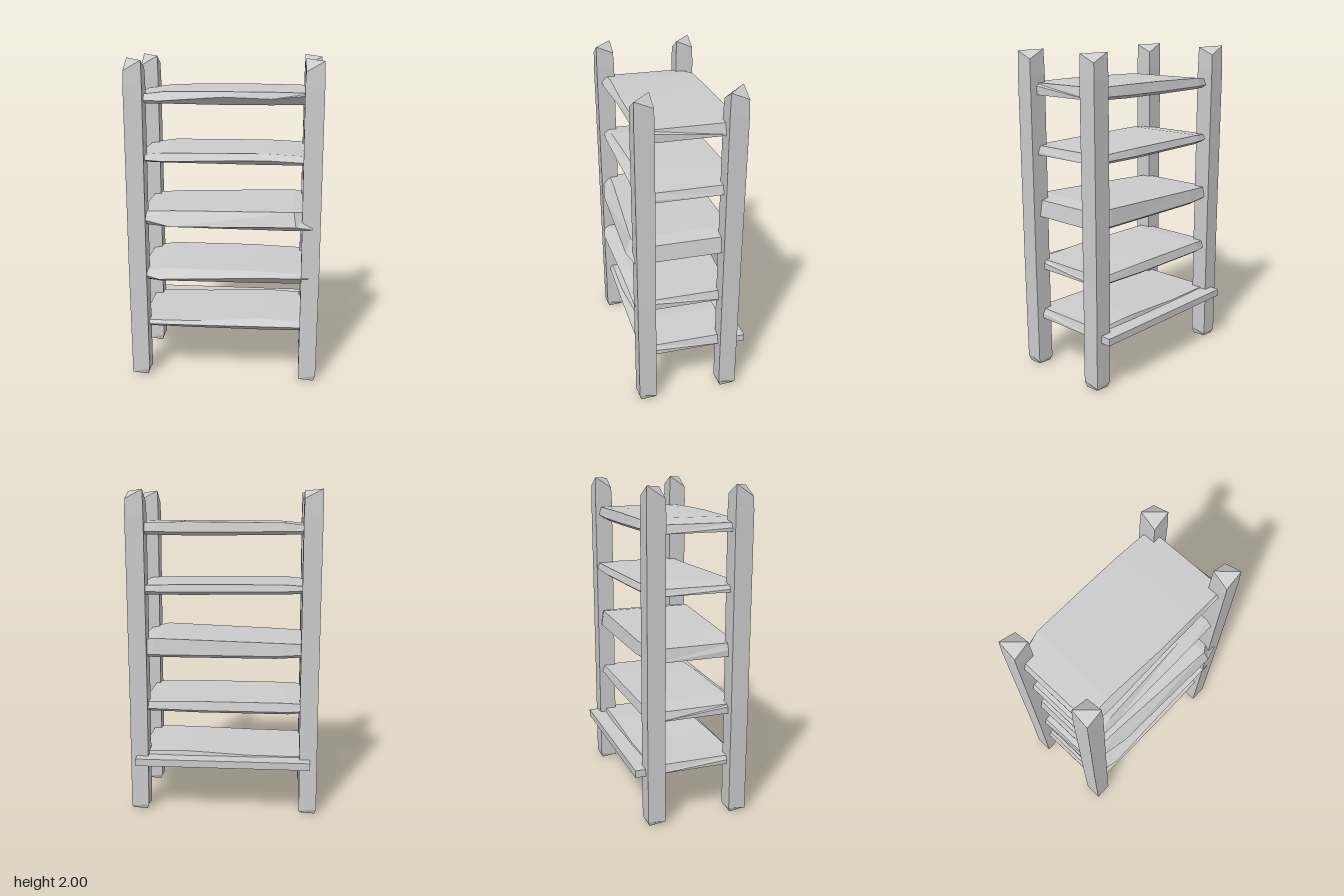
import * as THREE from 'three';

const material = new THREE.MeshStandardMaterial({ color: 0xcccccc, flatShading: true });

// Skin a list of equal-length rings (counter-clockwise seen from the last ring) and cap both ends.
function loft(rings) {
  const n = rings[0].length;
  const index = [];
  for (let i = 0; i < rings.length - 1; i++) {
    for (let j = 0; j < n; j++) {
      const k = (j + 1) % n;
      const a = i * n, b = a + n;
      index.push(a + j, a + k, b + j, a + k, b + k, b + j);
    }
  }
  const last = (rings.length - 1) * n;
  for (let j = 1; j < n - 1; j++) {
    index.push(0, j + 1, j);
    index.push(last, last + j, last + j + 1);
  }
  const geometry = new THREE.BufferGeometry();
  geometry.setAttribute('position', new THREE.Float32BufferAttribute(rings.flat(2), 3));
  geometry.setIndex(index);
  const faceted = geometry.toNonIndexed();
  faceted.computeVertexNormals();
  return faceted;
}

// Rough-hewn square post with a worn foot and a top split along a diagonal ridge.
function makePost(x, z, lean) {
  const corners = [[-1, -1], [-1, 1], [1, 1], [1, -1]];
  const ring = (half, heights, dx = 0) =>
    corners.map(([sx, sz], i) => [x + dx + sx * half, heights[i], z + sz * half]);
  const level = (y) => [y, y, y, y];
  return loft([
    ring(0.043, [0, 0.01, 0, 0.005]),
    ring(0.054, [0.03, 0.015, 0.04, 0.02]),
    ring(0.055, level(0.7), lean),
    ring(0.056, level(1.85)),
    ring(0.053, [2, 1.93, 1.99, 1.945]),
  ]);
}

// Hewn board: each station across the width is
// [x, bottom y, top y, back z, top front z, front edge z, front edge y].
function makeShelf(stations) {
  return loft(stations.map(([x, yb, yt, zb, zt, zf, yf]) => [
    [x, yb, zb + 0.03],
    [x, yb + 0.02, zb],
    [x * 0.97, yt, zb + 0.012],
    [x * 0.97, yt, zt],
    [x, yf, zf],
    [x, yb, zf - 0.05],
  ]));
}

const shelves = [
  // bottom
  [
    [-0.54, 0.31, 0.36, -0.27, 0.28, 0.30, 0.34],
    [-0.15, 0.31, 0.365, -0.28, 0.28, 0.305, 0.345],
    [0.25, 0.31, 0.385, -0.28, 0.25, 0.305, 0.35],
    [0.54, 0.315, 0.375, -0.27, 0.28, 0.30, 0.35],
  ],
  // second
  [
    [-0.54, 0.64, 0.695, -0.26, 0.27, 0.315, 0.69],
    [-0.40, 0.635, 0.71, -0.29, 0.27, 0.345, 0.66],
    [0.15, 0.635, 0.71, -0.29, 0.28, 0.335, 0.68],
    [0.52, 0.64, 0.70, -0.28, 0.28, 0.335, 0.69],
  ],
  // third
  [
    [-0.53, 0.995, 1.075, -0.27, 0.27, 0.31, 1.04],
    [-0.32, 0.985, 1.085, -0.29, 0.28, 0.345, 1.0],
    [0.44, 0.985, 1.105, -0.29, 0.33, 0.365, 1.02],
    [0.54, 0.99, 1.09, -0.27, 0.27, 0.335, 1.0],
  ],
  // fourth
  [
    [-0.54, 1.385, 1.425, -0.25, 0.26, 0.30, 1.405],
    [-0.38, 1.38, 1.44, -0.29, 0.27, 0.305, 1.395],
    [0.25, 1.375, 1.44, -0.31, 0.24, 0.305, 1.41],
    [0.54, 1.375, 1.43, -0.30, 0.26, 0.30, 1.395],
  ],
  // top
  [
    [-0.55, 1.735, 1.785, -0.24, 0.27, 0.30, 1.76],
    [-0.38, 1.735, 1.805, -0.29, 0.265, 0.305, 1.755],
    [0.0, 1.73, 1.81, -0.29, 0.28, 0.30, 1.78],
    [0.28, 1.73, 1.81, -0.29, 0.28, 0.295, 1.77],
    [0.54, 1.735, 1.805, -0.28, 0.28, 0.295, 1.795],
  ],
];

export function createModel() {
  const group = new THREE.Group();
  const add = (name, geometry) => {
    const mesh = new THREE.Mesh(geometry, material);
    mesh.name = name;
    group.add(mesh);
    return mesh;
  };

  // Four corner posts
  for (const side of [-1, 1]) {
    const label = side > 0 ? 'Left' : 'Right';
    add(`front${label}Post`, makePost(side * 0.53, 0.275, side * 0.003));
    add(`back${label}Post`, makePost(side * 0.53, -0.25, -side * 0.003));
  }

  // Five uneven boards
  shelves.forEach((stations, i) => add(`shelf${i + 1}`, makeShelf(stations)));

  // Bottom board runs out past the back posts as a straight ledge
  const ledge = add('bottomShelfBackLedge', new THREE.BoxGeometry(1.085, 0.045, 0.12));
  ledge.position.set(0.003, 0.333, -0.308);

  return group;
}
